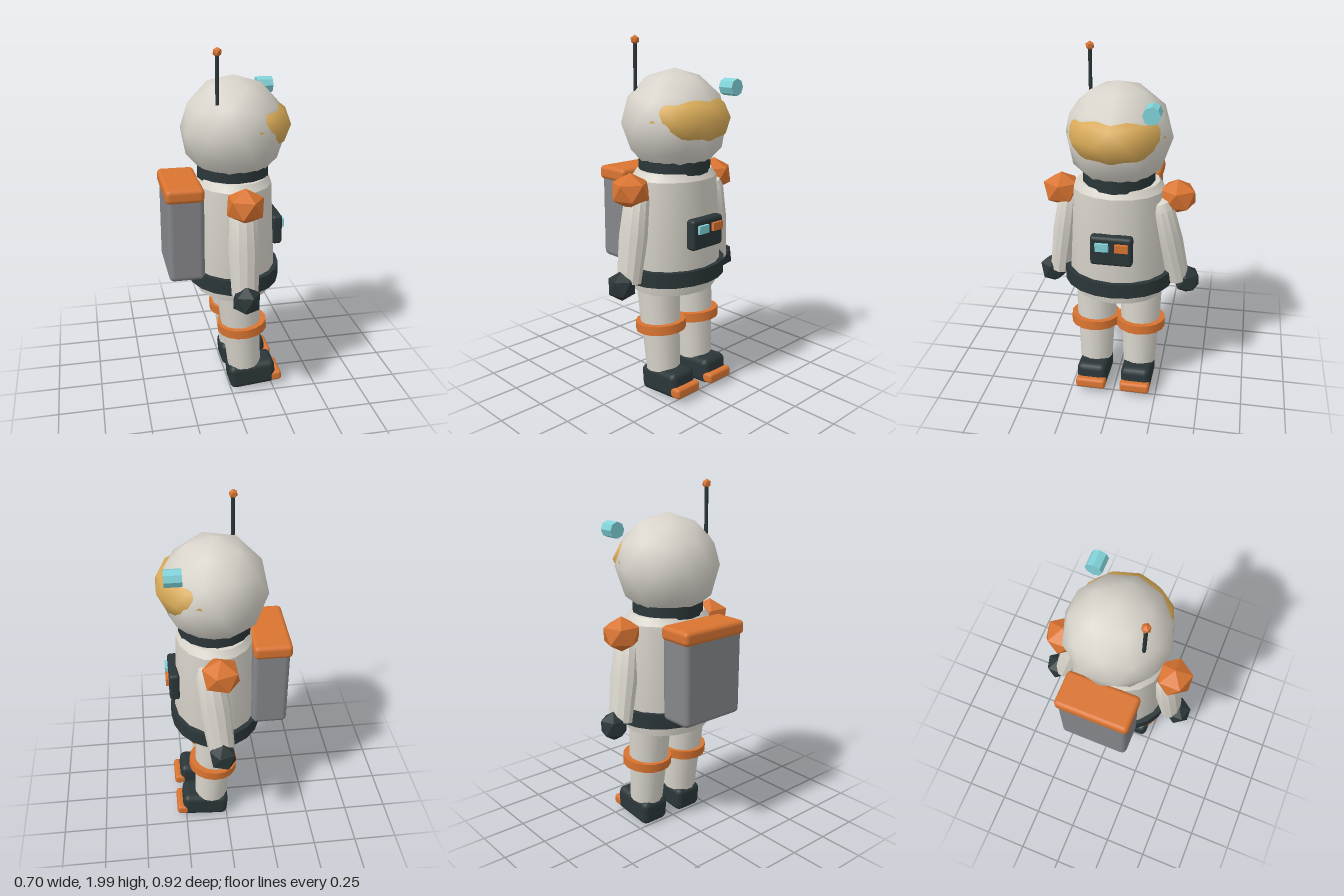
import * as THREE from 'three';
import { toCreasedNormals } from 'three/addons/utils/BufferGeometryUtils.js';
import { RoundedBoxGeometry } from 'three/addons/geometries/RoundedBoxGeometry.js';

const mat = (name, color) => Object.assign(new THREE.MeshStandardMaterial({ color }), { name });

export function createModel() {
  const suit = mat('suit white', 0xd8d4cb);
  const dark = mat('dark trim', 0x2b3638);
  const orange = mat('orange trim', 0xd97431);
  const gold = mat('gold visor', 0xd9ab58);
  const gray = mat('pack gray', 0x85868a);
  const cyan = mat('lamp cyan', 0x80d2d8);

  const model = new THREE.Group();
  model.name = 'astronaut';
  const CX = 0.045; // body axis; the figure looks along +x

  const add = (name, geo, material, x, y, z, parent = model) => {
    const m = new THREE.Mesh(geo, material);
    m.name = name;
    m.position.set(x, y, z);
    parent.add(m);
    return m;
  };
  const box = (w, h, d, r) => new RoundedBoxGeometry(w, h, d, 2, r);
  // pole-up icosphere stretched to three radii
  const ico = (rx, ry, rz, detail) =>
    new THREE.IcosahedronGeometry(1, detail)
      .rotateZ(-Math.atan(2 / (1 + Math.sqrt(5)))).scale(rx, ry, rz);
  const lathe = (pts, sides) => toCreasedNormals(
    new THREE.LatheGeometry(pts.map(([r, y]) => new THREE.Vector2(r, y)), sides), 0.5);

  // torso, belt, neck ring
  const torso = lathe([[0, 0.62], [0.255, 0.62], [0.282, 0.75], [0.254, 1.25], [0.225, 1.29], [0, 1.29]], 16);
  add('torso', torso.scale(0.84, 1, 1), suit, CX, 0, 0);
  add('belt', new THREE.CylinderGeometry(0.31, 0.31, 0.085, 20).scale(0.84, 1, 1), dark, CX, 0.725, 0);
  add('neckRing', new THREE.CylinderGeometry(0.198, 0.198, 0.08, 16), dark, CX, 1.312, 0);

  // helmet and visor
  add('helmet', ico(0.29, 0.29, 0.29, 1), suit, CX, 1.54, 0);
  add('visor', ico(0.23, 0.17, 0.26, 1), gold, 0.13, 1.568, 0);

  // antenna on the +z side, lamp on the -z side
  add('antenna', new THREE.CylinderGeometry(0.01, 0.01, 0.27, 8), dark, -0.073, 1.845, 0.175);
  add('antennaTip', ico(0.025, 0.025, 0.025, 0), orange, -0.073, 1.975, 0.175);
  add('headLamp', new THREE.CylinderGeometry(0.046, 0.046, 0.09, 8).toNonIndexed().rotateZ(-Math.PI / 2),
    cyan, 0.266, 1.73, -0.205).geometry.computeVertexNormals();

  // chest panel with two buttons
  add('chestPanel', box(0.06, 0.17, 0.23, 0.018), dark, 0.28, 0.97, 0);
  add('cyanButton', new THREE.BoxGeometry(0.03, 0.045, 0.072), cyan, 0.312, 1.0, 0.048);
  add('orangeButton', new THREE.BoxGeometry(0.03, 0.045, 0.072), orange, 0.312, 1.0, -0.058);

  // backpack
  add('backpack', box(0.2, 0.5, 0.4, 0.03), gray, -0.245, 0.99, 0);
  add('backpackLid', box(0.21, 0.08, 0.42, 0.025), orange, -0.25, 1.236, 0);

  // arms
  const arm = (side, name, topX, topZ) => {
    const a = new THREE.Vector3(topX, 1.2, side * topZ);
    const b = new THREE.Vector3(CX, 0.71, side * 0.342);
    const len = a.distanceTo(b);
    const geo = lathe([[0, -len], [0.066, -len], [0.077, -len * 0.5], [0.067, -len * 0.08],
      [0.05, 0], [0, 0.015]], 12).scale(1.12, 1, 0.95);
    const m = add(name + 'Arm', geo, suit, a.x, a.y, a.z);
    m.quaternion.setFromUnitVectors(new THREE.Vector3(0, -1, 0), b.clone().sub(a).normalize());
    add(name + 'Shoulder', ico(0.11, 0.098, 0.112, 0), orange, CX, 1.208, side * 0.322);
    add(name + 'Hand', ico(0.082, 0.086, 0.082, 0), dark, CX - 0.003, 0.695, side * 0.39);
  };
  arm(1, 'near', CX, 0.272);
  arm(-1, 'far', 0.1, 0.238);

  // legs, each swung slightly forward from the hip
  for (const side of [1, -1]) {
    const leg = new THREE.Group();
    leg.name = side > 0 ? 'nearLeg' : 'farLeg';
    leg.position.set(0.048, 0.66, side * 0.13);
    leg.rotation.z = 0.085;
    model.add(leg);
    add('thigh', new THREE.CylinderGeometry(0.122, 0.114, 0.26, 14), suit, 0, -0.12, 0, leg);
    add('shin', new THREE.CylinderGeometry(0.11, 0.097, 0.28, 14), suit, 0, -0.37, 0, leg);
    add('kneeRing', new THREE.CylinderGeometry(0.142, 0.142, 0.052, 16), orange, 0.006, -0.248, side * 0.004, leg);
    add('boot', box(0.275, 0.148, 0.175, 0.035), dark, 0.034, -0.573, 0, leg);
    add('toeCap', box(0.07, 0.06, 0.175, 0.018), orange, 0.17, -0.605, 0, leg);
  }
  return model;
}
